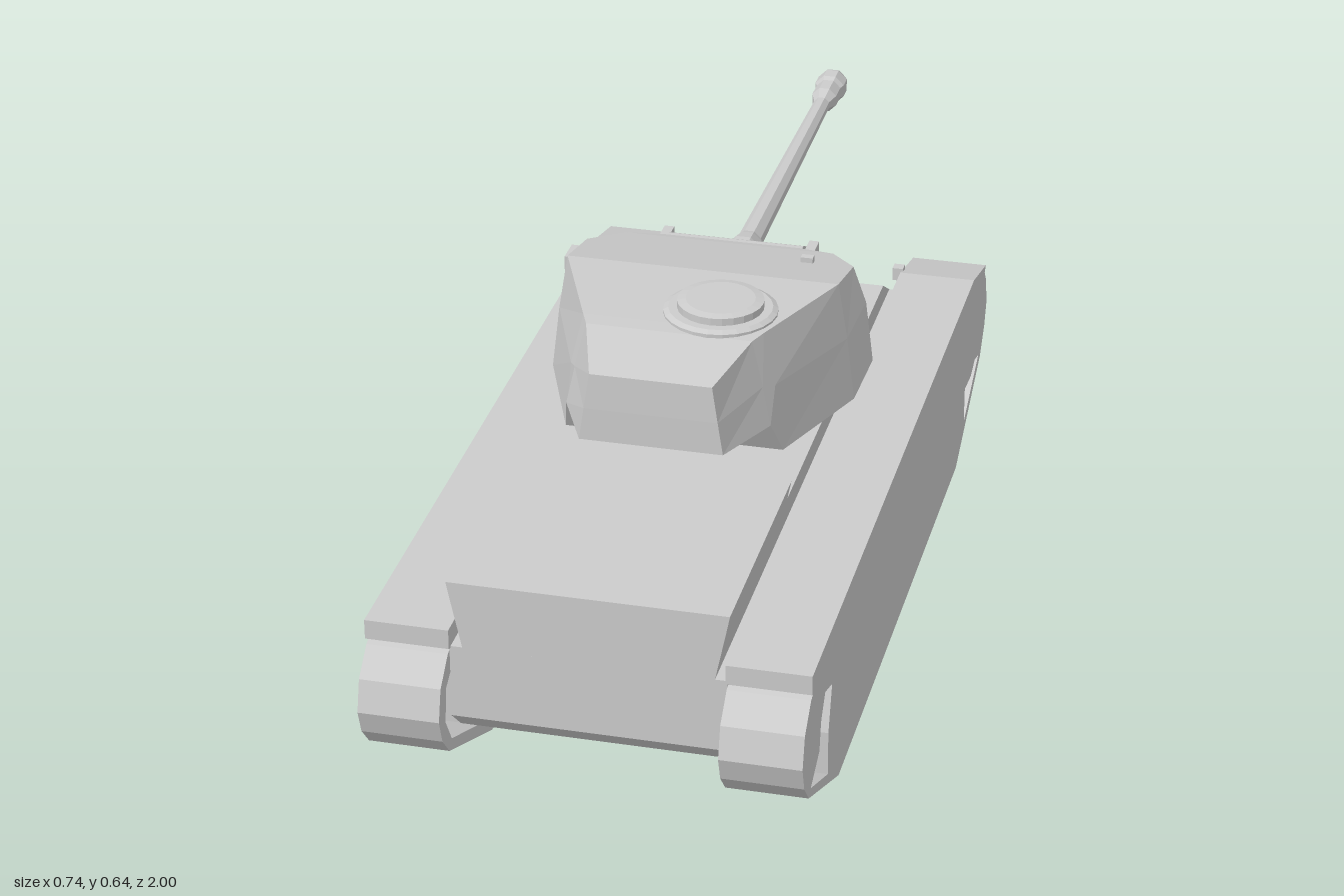
import * as THREE from 'three';

const mat = new THREE.MeshStandardMaterial({ color: 0xcccccc, flatShading: true });

function add(parent, name, geometry, x = 0, y = 0, z = 0) {
  const mesh = new THREE.Mesh(geometry, mat);
  mesh.name = name;
  mesh.position.set(x, y, z);
  parent.add(mesh);
  return mesh;
}

// Side profile of [z, y] points, extruded across x from x0 to x1
function sideExtrude(points, x0, x1, holes = []) {
  const toVec = (list) => list.map(([z, y]) => new THREE.Vector2(z, y));
  const shape = new THREE.Shape(toVec(points));
  holes.forEach((h) => shape.holes.push(new THREE.Path(toVec(h))));
  const g = new THREE.ExtrudeGeometry(shape, { depth: x1 - x0, bevelEnabled: false });
  return g.rotateY(-Math.PI / 2).translate(x1, 0, 0);
}

// Mirrored loft: each level lists [x, y, z] for the +x half, rear to front
function mirroredLoft(levels) {
  const rings = levels.map((half) => [
    ...half,
    ...half.slice().reverse().map(([x, y, z]) => [-x, y, z]),
  ]);
  const pos = [];
  const quad = (a, b, c, d) => pos.push(...a, ...b, ...c, ...a, ...c, ...d);
  const n = rings[0].length;
  for (let r = 0; r < rings.length - 1; r++) {
    for (let i = 0; i < n; i++) {
      const j = (i + 1) % n;
      quad(rings[r][i], rings[r][j], rings[r + 1][j], rings[r + 1][i]);
    }
  }
  const bottom = rings[0], top = rings[rings.length - 1];
  for (let i = 0; i < n / 2 - 1; i++) {
    const k = n - 1 - i;
    quad(top[i], top[i + 1], top[k - 1], top[k]);
    quad(bottom[k], bottom[k - 1], bottom[i + 1], bottom[i]);
  }
  const g = new THREE.BufferGeometry();
  g.setAttribute('position', new THREE.Float32BufferAttribute(pos, 3));
  g.computeVertexNormals();
  return g;
}

function buildHull() {
  const hull = new THREE.Group();
  hull.name = 'hull';
  add(hull, 'lowerHull', sideExtrude(
    [[0.93, 0.3], [0.93, 0.167], [0.88, 0.12], [-0.45, 0.12], [-0.59, 0.25], [-0.494, 0.3]], -0.233, 0.231));
  // Flared upper hull with the sloping front plate
  add(hull, 'upperHull', mirroredLoft([
    [[0.21, 0.298, 0.93], [0.21, 0.298, -0.498]],
    [[0.228, 0.385, 0.93], [0.228, 0.385, -0.34]],
  ]));
  add(hull, 'engineDeck', mirroredLoft([
    [[0.228, 0.385, 0.93], [0.228, 0.385, 0.48]],
    [[0.235, 0.42, 0.93], [0.235, 0.42, 0.48]],
  ]));
  for (const x of [0.05, 0.12]) add(hull, 'periscope', new THREE.BoxGeometry(0.022, 0.014, 0.012), x, 0.388, -0.33);
  for (const s of [-1, 1]) add(hull, 'headlamp', new THREE.BoxGeometry(0.02, 0.025, 0.02), s * 0.223, 0.325, -0.52);
  return hull;
}

function buildTrack(side) {
  const unit = new THREE.Group();
  unit.name = side > 0 ? 'leftTrackUnit' : 'rightTrackUnit';
  const outline = [
    [0.71, 0], [0.95, 0.11], [0.985, 0.15], [1, 0.195], [0.985, 0.25], [0.94, 0.29], [0.86, 0.31],
    [-0.52, 0.322], [-0.623, 0.3], [-0.65, 0.265], [-0.667, 0.21], [-0.65, 0.165], [-0.61, 0.118], [-0.37, 0],
  ];
  // Inner faces open wide around the end wheels, outer faces only slightly
  const wide = [
    [[0.79, 0.06], [0.935, 0.125], [0.965, 0.175], [0.955, 0.235], [0.91, 0.262], [0.79, 0.235]],
    [[-0.43, 0.055], [-0.59, 0.13], [-0.635, 0.185], [-0.63, 0.265], [-0.47, 0.13]],
  ];
  const narrow = [
    [[0.8, 0.06], [0.935, 0.12], [0.87, 0.15], [0.86, 0.2], [0.83, 0.238], [0.775, 0.22], [0.8, 0.14]],
    [[-0.445, 0.06], [-0.59, 0.13], [-0.55, 0.14], [-0.51, 0.125], [-0.445, 0.13]],
  ];
  const span = (a, b) => (side > 0 ? [a, b] : [-b, -a]);
  add(unit, 'track', sideExtrude(outline, ...span(0.232, 0.345), wide));
  add(unit, 'trackOuterFace', sideExtrude(outline, ...span(0.345, 0.37), narrow));
  add(unit, 'fenderAndSkirt', sideExtrude([
    [0.94, 0.3], [0.94, 0.335], [-0.5, 0.335], [-0.632, 0.303], [-0.47, 0.15], [0.43, 0.142],
  ], ...span(0.23, 0.372)));
  return unit;
}

function buildTurret() {
  const turret = new THREE.Group();
  turret.name = 'turret';
  turret.position.x = -0.006;
  add(turret, 'turretRing', new THREE.CylinderGeometry(0.21, 0.21, 0.03, 24), 0, 0.387, 0.085);
  // Cast shell: rear bustle, wide middle and rounded front
  add(turret, 'turretShell', mirroredLoft([
    [[0.125, 0.46, 0.49], [0.18, 0.46, 0.37], [0.193, 0.393, 0.33], [0.274, 0.393, 0.12],
      [0.277, 0.393, -0.03], [0.215, 0.393, -0.12], [0.13, 0.393, -0.135]],
    [[0.116, 0.52, 0.49], [0.165, 0.53, 0.365], [0.18, 0.52, 0.335], [0.26, 0.51, 0.12],
      [0.264, 0.51, -0.025], [0.208, 0.5, -0.115], [0.13, 0.5, -0.13]],
    [[0.106, 0.585, 0.488], [0.145, 0.612, 0.36], [0.158, 0.614, 0.33], [0.243, 0.614, 0.12],
      [0.243, 0.585, -0.01], [0.19, 0.566, -0.09], [0.125, 0.56, -0.11]],
  ]));
  // Lip below the gun and roof brow above it
  add(turret, 'frontLip', mirroredLoft([
    [[0.24, 0.393, -0.06], [0.21, 0.393, -0.14], [0.14, 0.393, -0.192]],
    [[0.23, 0.43, -0.06], [0.2, 0.43, -0.135], [0.135, 0.425, -0.185]],
  ]));
  const mantlet = add(turret, 'mantlet', new THREE.CylinderGeometry(0.06, 0.06, 0.25, 14), 0, 0.492, -0.125);
  mantlet.rotation.z = Math.PI / 2;
  for (const s of [-1, 1]) {
    add(turret, 'mantletCheek', new THREE.BoxGeometry(0.018, 0.12, 0.08), s * 0.135, 0.48, -0.145);
  }
  // Bulged cheek with a round port on one side
  const cheek = add(turret, 'cheekBulge', new THREE.CylinderGeometry(0.045, 0.055, 0.05, 14), -0.222, 0.48, -0.075);
  cheek.rotation.set(-Math.PI / 2, 0, 0.6);
  add(turret, 'cheekPlate', sideExtrude(
    [[-0.03, 0.393], [0.02, 0.393], [0.02, 0.56], [-0.03, 0.56]], -0.277, -0.245));

  // Cupola with a stepped lid
  const cupola = [[0, 0.025], [0.06, 0.025], [0.075, 0.022], [0.075, 0.009], [0.09, 0.009], [0.099, 0.004], [0.099, -0.012]]
    .reverse().map(([r, y]) => new THREE.Vector2(r, y));
  add(turret, 'cupola', new THREE.LatheGeometry(cupola, 24), 0.068, 0.614, 0.265);
  add(turret, 'roofPeriscope', new THREE.BoxGeometry(0.022, 0.02, 0.014), 0.16, 0.586, -0.01);

  // Barrel with base collar and muzzle, lathed along its length
  const barrel = [[0.036, 0.15], [0.036, 0.2], [0.028, 0.235], [0.023, 0.25], [0.016, 0.88],
    [0.026, 0.905], [0.026, 0.945], [0.031, 0.955], [0.031, 0.985], [0.025, 1], [0, 1]]
    .map(([r, d]) => new THREE.Vector2(r, d));
  const gun = add(turret, 'gunBarrel', new THREE.LatheGeometry(barrel, 8, Math.PI / 8), 0, 0.493, 0);
  gun.rotation.x = -Math.PI / 2;
  return turret;
}

export function createModel() {
  const model = new THREE.Group();
  model.name = 'tank';
  model.add(buildHull(), buildTrack(1), buildTrack(-1), buildTurret());
  return model;
}
